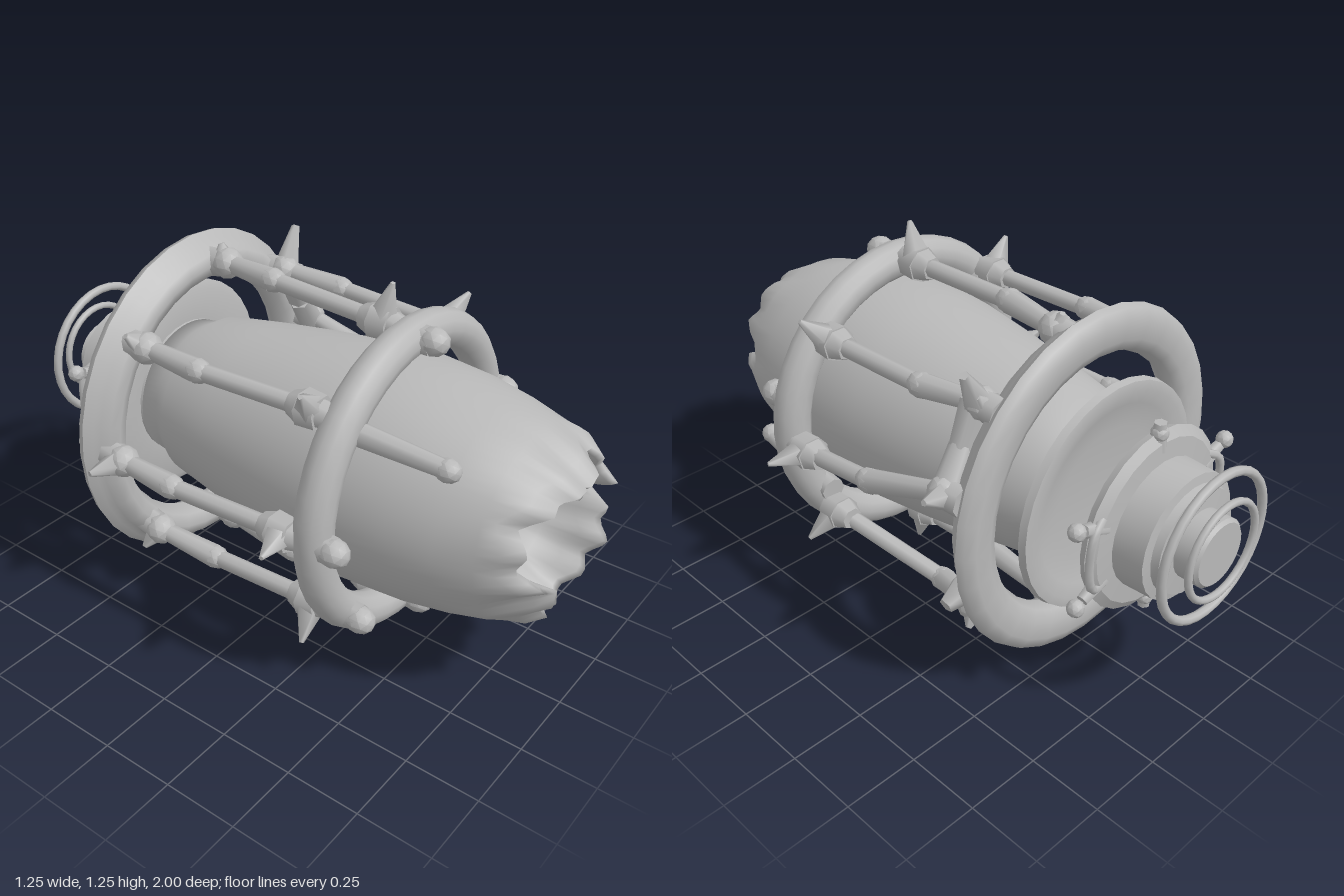
import * as THREE from 'three';
import { mergeVertices, toCreasedNormals } from 'three/addons/utils/BufferGeometryUtils.js';

const CY = 0.625; // height of the long axis

export function createModel() {
  const model = new THREE.Group();
  const grey = new THREE.MeshStandardMaterial({ color: 0xb8b8b8 });

  const add = (geo, name, parent = model) => {
    const m = new THREE.Mesh(geo, grey);
    m.name = name;
    parent.add(m);
    return m;
  };
  const group = (name) => {
    const g = new THREE.Group();
    g.name = name;
    model.add(g);
    return g;
  };
  // point around the long axis: angle, radius, z
  const P = (deg, r, z) => {
    const a = THREE.MathUtils.degToRad(deg);
    return new THREE.Vector3(r * Math.cos(a), CY + r * Math.sin(a), z);
  };
  // tapered bar between two points
  const bar = (a, b, ra, rb, name, parent, sides = 8) => {
    const geo = new THREE.CylinderGeometry(rb, ra, a.distanceTo(b), sides);
    const m = add(geo, name, parent);
    m.position.lerpVectors(a, b, 0.5);
    m.quaternion.setFromUnitVectors(new THREE.Vector3(0, 1, 0), b.clone().sub(a).normalize());
  };
  const knob = (p, r, name, parent, sz = 1) => {
    const geo = toCreasedNormals(new THREE.IcosahedronGeometry(r, 1), 0.6);
    const m = add(geo, name, parent);
    m.position.copy(p);
    m.scale.z = sz;
  };
  // revolved solid along z from [radius, z] pairs
  const turned = (pts, seg) => {
    const geo = new THREE.LatheGeometry(pts.map(([r, z]) => new THREE.Vector2(r, z)), seg);
    geo.rotateX(Math.PI / 2);
    return geo;
  };
  const turnedPart = (pts, seg, name, parent, crease = 0.6) => {
    const m = add(toCreasedNormals(turned(pts, seg), crease), name, parent);
    m.position.y = CY;
    return m;
  };

  // hollow barrel body with a broken, jagged mouth
  const body = turned([
    [0, -0.53], [0.24, -0.53], [0.25, -0.46], [0.285, -0.4], [0.32, -0.2], [0.35, 0], [0.375, 0.2],
    [0.385, 0.38], [0.373, 0.55], [0.348, 0.7], [0.318, 0.82], [0.285, 0.91], [0.24, 0.97],
    [0.225, 0.955], [0.21, 0.89], [0.18, 0.8], [0.11, 0.73], [0, 0.71],
  ], 72);
  body.deleteAttribute('uv');
  body.deleteAttribute('normal');
  const shell = mergeVertices(body, 1e-4);
  const pos = shell.attributes.position;
  // mouth radius every 30 degrees
  const mouth = [0.24, 0.21, 0.27, 0.17, 0.2, 0.28, 0.26, 0.15, 0.24, 0.3, 0.26, 0.2];
  const mouthRadius = (a) => {
    const t = ((a / (2 * Math.PI) + 1) % 1) * 12, i = Math.floor(t);
    return THREE.MathUtils.lerp(mouth[i % 12], mouth[(i + 1) % 12], t - i);
  };
  const tooth = (a) => Math.abs((((a * 13) / (2 * Math.PI) + 14.6) % 1) - 0.5) * 2;
  for (let i = 0; i < pos.count; i++) {
    const x = pos.getX(i), y = pos.getY(i), z = pos.getZ(i);
    const a = Math.atan2(y, x), r = Math.hypot(x, y);
    const w = THREE.MathUtils.smoothstep(z, 0.78, 0.95) * THREE.MathUtils.smoothstep(r, 0.08, 0.2);
    const open = mouthRadius(a);
    const k = Math.min(1 + w * 0.7 * (open / 0.235 - 1), 0.315 / Math.max(r, 0.315 / 1.3));
    const notch = 0.08 * Math.exp(-(((a - 0.12) / 0.14) ** 2));
    const s = r > 0.315 ? 1 : k;
    pos.setXYZ(i, x * s, y * s, Math.min(z + w * (0.04 - 0.8 * (open - 0.2) - 0.045 * tooth(a) - notch), 1));
  }
  shell.computeVertexNormals();
  add(shell, 'brokenBarrel').position.y = CY;

  // round hoop around the front half
  const frontRing = add(new THREE.TorusGeometry(0.473, 0.061, 12, 40), 'frontRing');
  frontRing.position.set(0, CY, 0.38);

  // flatter hoop at the back, slightly narrower than tall
  const backRing = turnedPart([
    [0.425, -0.46], [0.44, -0.495], [0.475, -0.512], [0.535, -0.515], [0.572, -0.5], [0.582, -0.475],
    [0.56, -0.45], [0.54, -0.435], [0.525, -0.405], [0.49, -0.395], [0.45, -0.41], [0.425, -0.46],
  ], 32, 'backRing', model, 0.9);
  backRing.scale.x = 0.96;
  backRing.position.x = -0.008;

  // neck and dished plate behind the barrel
  turnedPart([
    [0, -0.555], [0.22, -0.555], [0.3, -0.57], [0.345, -0.585], [0.375, -0.58],
    [0.38, -0.555], [0.35, -0.54], [0.24, -0.54], [0.235, -0.5], [0, -0.5],
  ], 32, 'rearPlate');

  // separate rear cap with its stepped hub
  const cap = group('rearCap');
  turnedPart([
    [0, -0.98], [0.1, -0.98], [0.11, -0.97], [0.11, -0.9], [0.17, -0.895], [0.175, -0.87],
    [0.205, -0.865], [0.21, -0.76], [0.27, -0.755], [0.3, -0.735], [0.29, -0.71], [0.23, -0.7], [0, -0.7],
  ], 24, 'steppedHub', cap, 0.5);
  const hoop = (r, t, z, name) => {
    const m = add(new THREE.TorusGeometry(r, t, 8, 32), name, cap);
    m.position.set(0, CY + 0.015, z);
  };
  hoop(0.235, 0.015, -0.955, 'largeThinHoop');
  hoop(0.155, 0.012, -0.985, 'smallThinHoop');
  for (const d of [20, 90, 160, 205, 270, 335]) {
    bar(P(d, 0.24, -0.735), P(d, 0.33, -0.735), 0.028, 0.02, 'capStud', cap, 6);
    knob(P(d, d % 90 ? 0.36 : 0.295, -0.735), 0.028, 'capStudEnd', cap);
  }
  for (const side of [0, 180]) {
    const pts = [-32, -18, 0, 18, 32].map((d, i) => P(side + d, 0.25 + (i % 4 ? 0.05 : 0), i % 4 ? -0.755 : -0.735));
    add(new THREE.TubeGeometry(new THREE.CatmullRomCurve3(pts), 16, 0.014, 6), 'capHandle', cap);
  }

  // kinked struts between the hoops: front, middle and back angles, rear spike reach
  const struts = [
    [90, 89, 86, 0.56], [43, 44, 48, 0.57], [-2, 4, 16, 0.61], [-38, -55, -43, 0.57],
    [270, 268, 272, 0.56], [225, 229, 224, 0.58], [180, 181, 180, 0.62], [135, 137, 136, 0.58],
  ];
  struts.forEach(([f, m, b, reach], i) => {
    const g = group('strut');
    const zm = i % 2 ? -0.14 : -0.05 - 0.1 * (i % 3 === 0);
    const front = P(f, 0.49, 0.27), mid = P(m, 0.505, zm), back = P(b, 0.5, -0.36);
    bar(front, mid, 0.029, 0.029, 'frontRod', g);
    bar(mid, back, 0.04, 0.03, 'rearRod', g);
    knob(mid, 0.04, 'elbow', g, 1.3);
    bar(P(f, 0.49, 0.205), P(f, 0.49, 0.25), 0.038, 0.055, 'frontCollar', g, 7);
    bar(P(f, 0.49, 0.25), P(f, 0.49, 0.315), 0.06, 0.055, 'frontJoint', g, 7);
    bar(P(f, 0.49, 0.31), P(f, 0.48, 0.36), 0.045, 0.04, 'frontMount', g);
    bar(P(f, 0.52, 0.285), P(f, 0.625, 0.31), 0.046, 0.008, 'frontSpike', g, 5);
    knob(back, 0.053, 'rearJoint', g);
    bar(back, P(b, 0.49, -0.43), 0.047, 0.05, 'rearMount', g, 7);
    bar(P(b, 0.5, -0.37), P(b, reach, -0.39), 0.05, 0.01, 'rearSpike', g, 5);
  });

  // side brace joining two struts near the back hoop
  const brace = group('rearBrace');
  bar(P(48, 0.5, -0.34), P(32, 0.46, -0.34), 0.05, 0.042, 'upperBrace', brace, 6);
  bar(P(32, 0.46, -0.34), P(16, 0.49, -0.36), 0.042, 0.05, 'lowerBrace', brace, 6);
  bar(P(48, 0.52, -0.36), P(50, 0.655, -0.38), 0.045, 0.015, 'braceSpike', brace, 5);
  bar(P(-25, 0.49, -0.4), P(-24, 0.57, -0.4), 0.05, 0.025, 'sideSpike', brace, 5);

  // short studs on the face of the front hoop
  const studs = group('frontStuds');
  for (const d of [90, 180, 225, 270, 14]) {
    bar(P(d, 0.475, 0.4), P(d, 0.475, 0.46), 0.045, 0.045, 'stud', studs, 7);
    knob(P(d, 0.48, 0.46), 0.045, 'studTip', studs, 1.15);
  }

  // long prongs reaching forward along the barrel
  for (const d of [136, -31]) {
    const g = group('longProng');
    bar(P(d, 0.45, 0.3), P(d, 0.405, 0.7), 0.042, 0.028, 'prongRod', g);
    knob(P(d, 0.4, 0.7), 0.036, 'prongTip', g, 1.2);
  }
  return model;
}
